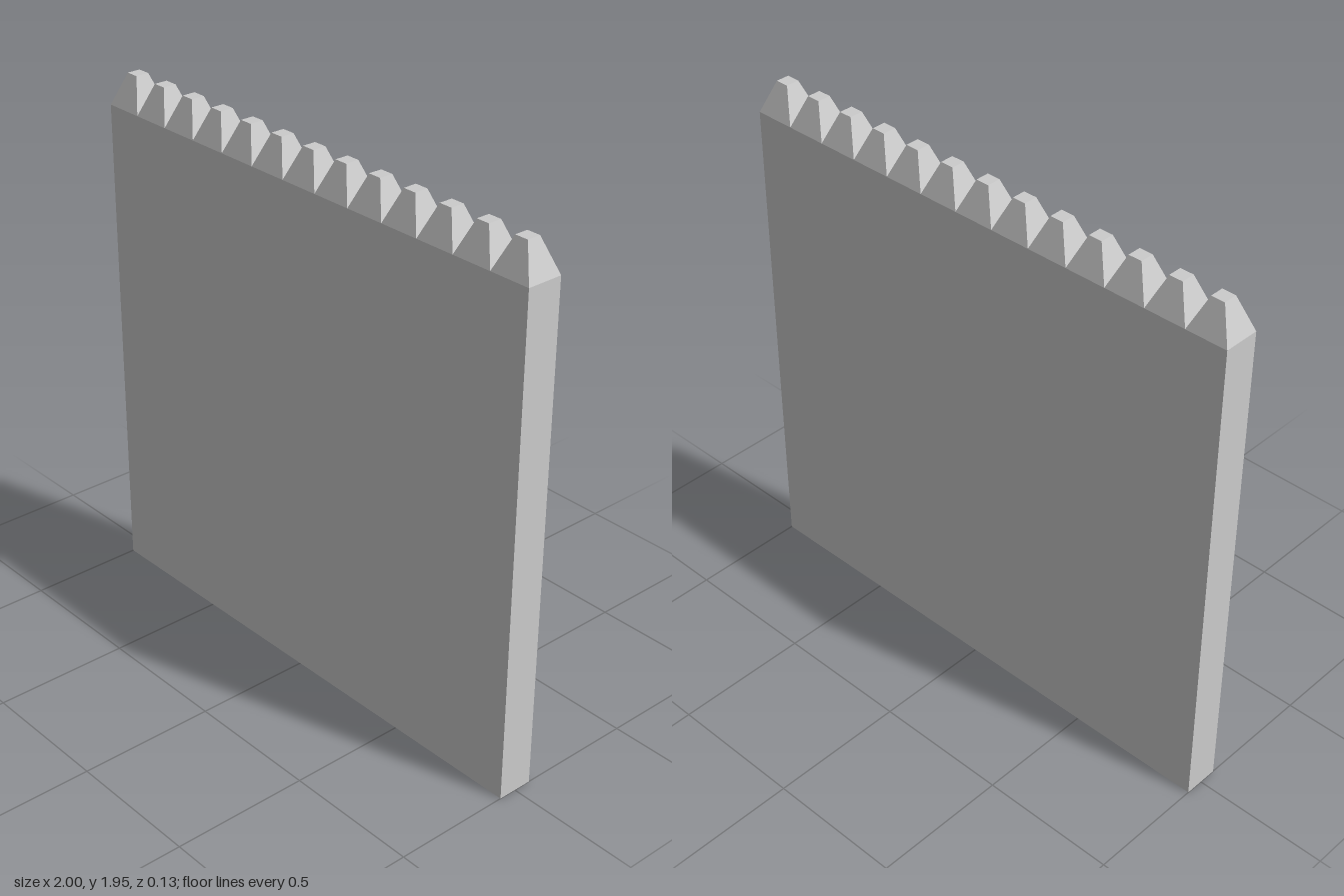
import * as THREE from 'three';

const WIDTH = 2, DEPTH = 0.133, WALL_HEIGHT = 1.83;
const SPIKES = 13, SPIKE_HEIGHT = 0.12, TIP = 0.05;

// Box whose upper face is shrunk to a small square tip
function spikeGeometry(width, height, depth, tip) {
  const geometry = new THREE.BoxGeometry(width, height, depth);
  const p = geometry.attributes.position;
  for (let i = 0; i < p.count; i++) {
    if (p.getY(i) > 0) {
      p.setX(i, Math.sign(p.getX(i)) * tip / 2);
      p.setZ(i, Math.sign(p.getZ(i)) * tip / 2);
    }
  }
  geometry.translate(0, height / 2, 0);
  geometry.computeVertexNormals();
  return geometry;
}

export function createModel() {
  const model = new THREE.Group();
  model.name = 'spikedWall';
  const material = new THREE.MeshStandardMaterial({ color: 0xcccccc, flatShading: true });

  // Plain wall slab
  const wall = new THREE.Mesh(new THREE.BoxGeometry(WIDTH, WALL_HEIGHT, DEPTH), material);
  wall.name = 'wall';
  wall.position.y = WALL_HEIGHT / 2;
  model.add(wall);

  // Row of blunt spikes along the top edge
  const spikes = new THREE.Group();
  spikes.name = 'spikes';
  const pitch = WIDTH / SPIKES;
  const geometry = spikeGeometry(pitch, SPIKE_HEIGHT, DEPTH, TIP);
  for (let i = 0; i < SPIKES; i++) {
    const spike = new THREE.Mesh(geometry, material);
    spike.name = `spike${i + 1}`;
    spike.position.set((i + 0.5) * pitch - WIDTH / 2, WALL_HEIGHT, 0);
    spikes.add(spike);
  }
  model.add(spikes);

  return model;
}
